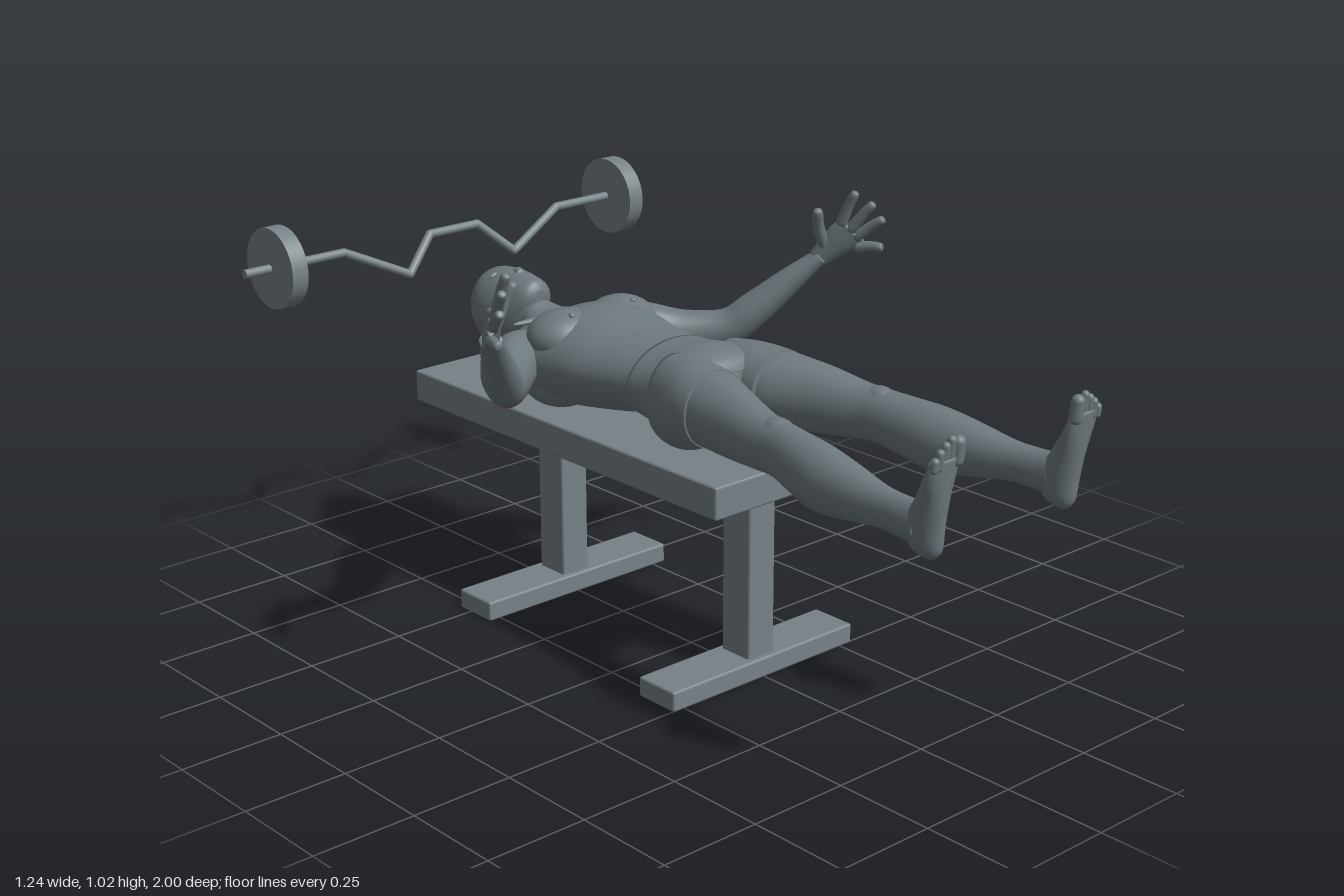
import * as THREE from 'three';
import { RoundedBoxGeometry } from 'three/addons/geometries/RoundedBoxGeometry.js';

const V = (x, y, z) => new THREE.Vector3(x, y, z);
const X = V(1, 0, 0), Y = V(0, 1, 0), Z = V(0, 0, 1);

const material = (name, color) => {
  const m = new THREE.MeshStandardMaterial({ color });
  m.name = name;
  return m;
};

// Smooth skin over rows of [x, y, z, half width, half height].
// dir fixes the ring axis; pick(row, angle) chooses a material index.
function loft(rows, { up = Y, dir = null, steps = 4, segs = 28, pick = null } = {}) {
  const rings = [], last = rows.length - 1;
  for (let i = 0; i <= last * steps; i++) {
    const v = i / steps, k = Math.min(Math.floor(v), last - 1), t = v - k;
    const p = [k - 1, k, k + 1, k + 2].map(n => rows[Math.max(0, Math.min(last, n))]);
    rings.push(p[0].map((_, c) => {
      const [a, b, d, e] = p.map(r => r[c]);
      return b + 0.5 * t * (d - a + t * (2 * a - 5 * b + 4 * d - e + t * (3 * (b - d) + e - a)));
    }));
  }
  const pos = [], groups = [[], [], [], []], n = rings.length;
  rings.forEach((r, i) => {
    const q = rings[Math.min(i + 1, n - 1)], o = rings[Math.max(i - 1, 0)];
    const t = dir ? dir.clone() : V(q[0] - o[0], q[1] - o[1], q[2] - o[2]).normalize();
    const s = up.clone().cross(t).normalize(), u = t.clone().cross(s);
    for (let j = 0; j < segs; j++) {
      const g = j / segs * Math.PI * 2;
      const w = V(r[0], r[1], r[2])
        .addScaledVector(s, Math.max(r[3], 0.001) * Math.cos(g))
        .addScaledVector(u, Math.max(r[4], 0.001) * Math.sin(g));
      pos.push(w.x, w.y, w.z);
    }
  });
  for (let i = 0; i < n - 1; i++) for (let j = 0; j < segs; j++) {
    const a = i * segs + j, b = i * segs + (j + 1) % segs, c = b + segs, d = a + segs;
    groups[pick ? pick((i + 0.5) / steps, (j + 0.5) / segs * 360) : 0].push(a, b, c, a, c, d);
  }
  // end caps
  const first = pos.length / 3, end = (n - 1) * segs;
  pos.push(...rings[0].slice(0, 3), ...rings[n - 1].slice(0, 3));
  for (let j = 0; j < segs; j++) {
    const k = (j + 1) % segs;
    groups[0].push(first, k, j, first + 1, end + j, end + k);
  }
  const geo = new THREE.BufferGeometry();
  geo.setAttribute('position', new THREE.Float32BufferAttribute(pos, 3));
  geo.setIndex(groups.flat());
  if (pick) {
    let start = 0;
    groups.forEach((g, i) => { geo.addGroup(start, g.length, i); start += g.length; });
  }
  geo.computeVertexNormals();
  return geo;
}

export function createModel() {
  const model = new THREE.Group();
  const metal = material('bench grey', 0x778286);
  const skin = material('body grey', 0x6e797e);
  const faded = material('faded red', 0x7d6768);
  const dullRed = material('dull red', 0x945450);
  const red = material('muscle red', 0xac423d);

  const add = (name, geo, mat = skin) => {
    const m = new THREE.Mesh(geo, mat);
    m.name = name;
    model.add(m);
    return m;
  };
  const box = (name, w, h, d, x, y, z) =>
    add(name, new RoundedBoxGeometry(w, h, d, 2, 0.006), metal).position.set(x, y, z);
  const blob = (name, x, y, z, rx, ry, rz) => {
    const m = add(name, new THREE.SphereGeometry(1, 24, 16));
    m.position.set(x, y, z);
    m.scale.set(rx, ry, rz);
    return m;
  };

  // Bench
  box('benchPad', 0.35, 0.08, 1.12, 0, 0.48, -0.285);
  for (const z of [0.197, -0.478]) {
    box('benchPost', 0.08, 0.4, 0.092, 0, 0.245, z);
    box('benchFoot', 0.57, 0.05, 0.12, 0, 0.025, z);
  }

  // Bent bar with plates
  const half = [[0.62, 0.845, -0.9], [0.335, 0.845, -0.9], [0.165, 0.765, -0.865], [0.075, 0.845, -0.9]];
  const bar = [...half, ...half.map(([x, y, z]) => [-x, y, z]).reverse()].map(p => V(...p));
  for (let i = 0; i < bar.length - 1; i++) {
    const d = bar[i + 1].clone().sub(bar[i]);
    const rod = add('bar', new THREE.CylinderGeometry(0.011, 0.011, d.length(), 16), metal);
    rod.position.copy(bar[i]).addScaledVector(d, 0.5);
    rod.quaternion.setFromUnitVectors(Y, d.normalize());
    if (i) add('barBend', new THREE.SphereGeometry(0.011, 16, 10), metal).position.copy(bar[i]);
  }
  for (const s of [1, -1]) {
    const plate = add('weightPlate', new THREE.CylinderGeometry(0.1, 0.1, 0.044, 40), metal);
    plate.rotation.z = Math.PI / 2;
    plate.position.set(s * 0.527, 0.845, -0.9);
  }

  // Torso
  add('torso', loft([
    [0, 0.665, -0.6, 0.058, 0.062], [0, 0.665, -0.555, 0.062, 0.068], [0, 0.657, -0.525, 0.09, 0.067],
    [0, 0.65, -0.495, 0.14, 0.073], [0, 0.642, -0.455, 0.178, 0.092], [0, 0.645, -0.4, 0.19, 0.114],
    [0, 0.652, -0.33, 0.184, 0.124], [0, 0.655, -0.25, 0.172, 0.117], [0, 0.655, -0.17, 0.155, 0.104],
    [0, 0.66, -0.08, 0.143, 0.092], [0, 0.657, -0.04, 0.146, 0.096]
  ], { dir: Z, segs: 40 }));
  // Shorts: hips with a small waistband step
  add('shorts', loft([
    [0, 0.658, -0.062, 0.146, 0.096], [0, 0.655, -0.01, 0.151, 0.102], [0, 0.652, 0.05, 0.169, 0.112],
    [0, 0.652, 0.1, 0.178, 0.108], [0, 0.655, 0.135, 0.165, 0.09], [0, 0.66, 0.15, 0.12, 0.06]
  ], { dir: Z, segs: 40 }));
  blob('groin', 0, 0.7, 0.07, 0.07, 0.058, 0.085);

  // Head, face up, with chin near the neck
  add('head', loft([
    [0, 0.742, -0.553, 0.016, 0.016], [0, 0.735, -0.566, 0.042, 0.044], [0, 0.707, -0.6, 0.063, 0.08],
    [0, 0.69, -0.64, 0.076, 0.101], [0, 0.685, -0.69, 0.082, 0.105], [0, 0.687, -0.73, 0.076, 0.094],
    [0, 0.688, -0.765, 0.053, 0.068], [0, 0.688, -0.782, 0.028, 0.036], [0, 0.688, -0.788, 0.004, 0.004]
  ], { dir: V(0, 0, -1), segs: 32 }));
  add('nose', loft([
    [0, 0.777, -0.62, 0.011, 0.008], [0, 0.784, -0.629, 0.014, 0.014],
    [0, 0.784, -0.645, 0.009, 0.011], [0, 0.783, -0.675, 0.006, 0.006]
  ], { dir: V(0, 0, -1), segs: 14 }));
  blob('upperLip', 0, 0.777, -0.605, 0.02, 0.009, 0.005);
  blob('lowerLip', 0, 0.773, -0.595, 0.018, 0.009, 0.005);
  blob('chin', 0, 0.76, -0.573, 0.024, 0.016, 0.016);

  for (const s of [1, -1]) {
    const mirror = rows => rows.map(([x, ...rest]) => [x * s, ...rest]);

    // Face and ears
    blob('eye', s * 0.03, 0.771, -0.67, 0.012, 0.008, 0.006);
    blob('brow', s * 0.031, 0.772, -0.685, 0.021, 0.011, 0.006).rotation.y = s * 0.12;
    blob('cheek', s * 0.038, 0.743, -0.64, 0.024, 0.02, 0.03);
    blob('ear', s * 0.078, 0.688, -0.655, 0.009, 0.018, 0.025).rotation.y = s * 0.12;

    // Muscle forms of chest, belly, back and seat
    blob('pectoral', s * 0.082, 0.708, -0.35, 0.1, 0.066, 0.088).rotation.y = s * 0.3;
    blob('nipple', s * 0.095, 0.767, -0.315, 0.008, 0.007, 0.008);
    blob('collarbone', s * 0.075, 0.717, -0.47, 0.07, 0.008, 0.01).rotation.y = s * 0.12;
    for (let i = 0; i < 4; i++)
      blob('abdominal', s * 0.031, 0.747 - i * 0.005, -0.245 + i * 0.052, 0.034, 0.017, 0.032);
    blob('shoulderBlade', s * 0.08, 0.59, -0.385, 0.085, 0.065, 0.1);
    blob('buttock', s * 0.078, 0.606, 0.065, 0.07, 0.07, 0.1);

    // Legs
    add('shortsLeg', loft(mirror([
      [0.085, 0.655, 0.03, 0.08, 0.1], [0.094, 0.655, 0.1, 0.091, 0.108],
      [0.1, 0.664, 0.15, 0.094, 0.098], [0.103, 0.668, 0.195, 0.092, 0.091]
    ]), { dir: Z }));
    add('leg', loft(mirror([
      [0.1, 0.668, 0.15, 0.088, 0.09], [0.106, 0.668, 0.2, 0.088, 0.088], [0.13, 0.665, 0.3, 0.069, 0.08],
      [0.15, 0.66, 0.4, 0.055, 0.067], [0.158, 0.659, 0.46, 0.051, 0.064], [0.169, 0.65, 0.53, 0.056, 0.069],
      [0.18, 0.64, 0.61, 0.062, 0.074], [0.19, 0.639, 0.7, 0.052, 0.062], [0.2, 0.638, 0.8, 0.037, 0.046],
      [0.206, 0.637, 0.87, 0.034, 0.045], [0.208, 0.637, 0.92, 0.032, 0.048]
    ]), { dir: Z }));
    blob('kneecap', s * 0.157, 0.697, 0.45, 0.033, 0.03, 0.045);
    add('foot', loft(mirror([
      [0.205, 0.57, 0.938, 0.01, 0.014], [0.206, 0.59, 0.927, 0.026, 0.04], [0.208, 0.64, 0.925, 0.033, 0.047],
      [0.21, 0.695, 0.943, 0.035, 0.036], [0.213, 0.75, 0.963, 0.043, 0.022], [0.213, 0.795, 0.977, 0.044, 0.013]
    ]), { up: Z, dir: Y }));
    for (let i = 0; i < 5; i++) {
      const x = s * [0.182, 0.203, 0.219, 0.234, 0.248][i], tip = [0.838, 0.842, 0.832, 0.82, 0.805][i];
      const r = i ? 0.0095 : 0.015;
      const toe = add('toe', new THREE.CapsuleGeometry(r, tip - 0.77 - 2 * r, 5, 12));
      toe.position.set(x, (tip + 0.77) / 2, 0.981);
      toe.rotation.x = 0.12;
    }

    // Arm, with the back of the upper arm fading into red
    const mark = (v, a) => {
      const d = Math.hypot((v - 1.95) / 1.25, (a - 270) / 78);
      return d < 0.5 ? 3 : d < 0.76 ? 2 : d < 1 ? 1 : 0;
    };
    add('arm', loft(mirror([
      [0.13, 0.65, -0.445, 0.05, 0.06], [0.195, 0.652, -0.41, 0.062, 0.069], [0.27, 0.643, -0.335, 0.051, 0.06],
      [0.345, 0.662, -0.252, 0.043, 0.047], [0.395, 0.71, -0.205, 0.045, 0.043], [0.455, 0.785, -0.143, 0.033, 0.032],
      [0.508, 0.848, -0.09, 0.025, 0.019]
    ]), { steps: 10, segs: 48, pick: mark }), [skin, faded, dullRed, red]);

    // Hand
    const palmUp = V(0.7 * s, 0.25, -0.67);
    add('palm', loft(mirror([
      [0.502, 0.84, -0.096, 0.025, 0.019], [0.518, 0.868, -0.073, 0.033, 0.019],
      [0.535, 0.898, -0.045, 0.042, 0.017], [0.547, 0.92, -0.022, 0.041, 0.012]
    ]), { up: palmUp, segs: 20 }));
    const fingers = [
      ['indexFinger', [0.524, 0.935, -0.04], [0.528, 0.985, -0.018], [0.53, 1.02, 0.002]],
      ['middleFinger', [0.542, 0.92, -0.026], [0.554, 0.963, 0.005], [0.564, 0.992, 0.03]],
      ['ringFinger', [0.555, 0.9, -0.02], [0.572, 0.932, 0.016], [0.583, 0.953, 0.046]],
      ['littleFinger', [0.56, 0.873, -0.022], [0.576, 0.88, 0.014], [0.586, 0.88, 0.042]],
      ['thumb', [0.512, 0.87, -0.08], [0.483, 0.925, -0.075], [0.463, 0.977, -0.06]]
    ];
    for (const [name, a, b, c] of fingers) {
      const r = name === 'thumb' ? 0.0145 : 0.0125;
      const tip = c.map((n, i) => n + (b[i] - n) * 0.15);
      add(name, loft(mirror([[...a, r * 1.15, r * 1.15], [...b, r, r], [...tip, r * 0.85, r * 0.85], [...c, 0.003, 0.003]]),
        { up: X, segs: 12 }));
    }
  }
  return model;
}
